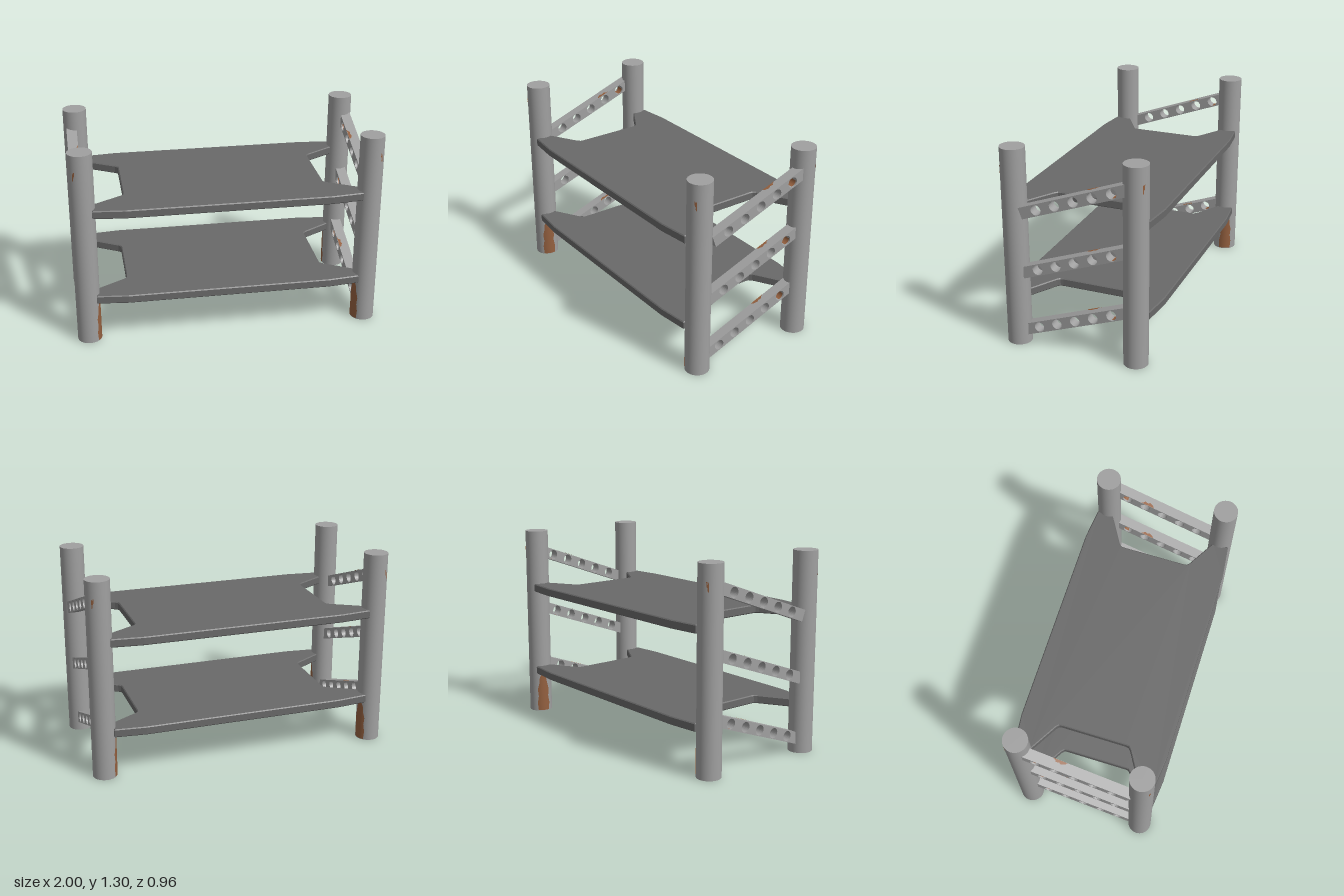
import * as THREE from 'three';

const steel = new THREE.MeshStandardMaterial({ color: 0xa0a0a0 });
steel.name = 'light steel';
const darkSteel = new THREE.MeshStandardMaterial({ color: 0x696969 });
darkSteel.name = 'dark steel';
const rust = new THREE.MeshStandardMaterial({ color: 0x94603f, side: THREE.DoubleSide });
rust.name = 'rust';

const POST = { x: 0.92, z: 0.395, r: 0.078, h: 1.305 };
const SLOPE = 0.352;
const HOLE_GAP = 0.13, HOLE_R = 0.033, BAR_LEN = 0.745, BAR_H = 0.075, BAR_W = 0.068;

function addMesh(parent, name, geometry, material) {
  const mesh = new THREE.Mesh(geometry, material);
  mesh.name = name;
  parent.add(mesh);
  return mesh;
}

function polygon(points) {
  return new THREE.Shape(points.map(([x, y]) => new THREE.Vector2(x, y)));
}

// Thin patch wrapped on a post; rows are [height, start angle, end angle] in degrees
// measured from the x axis towards the z axis, mirrored by sx and sz.
function postPatch(rows, sx, sz) {
  const n = 6, r = POST.r + 0.0015, pos = [], index = [];
  rows.forEach(([y, a0, a1], j) => {
    for (let i = 0; i <= n; i++) {
      const a = THREE.MathUtils.degToRad(a0 + (a1 - a0) * i / n);
      pos.push(sx * r * Math.cos(a), y, sz * r * Math.sin(a));
      if (j && i) {
        const k = j * (n + 1) + i;
        const quad = [k, k - 1, k - n - 2, k, k - n - 2, k - n - 1];
        index.push(...(sx * sz > 0 ? quad : quad.reverse()));
      }
    }
  });
  const g = new THREE.BufferGeometry();
  g.setAttribute('position', new THREE.Float32BufferAttribute(pos, 3));
  g.setIndex(index);
  g.computeVertexNormals();
  return g;
}

// Round post with rust at its foot and two small chips near the top
function createPost(sx, sz) {
  const post = new THREE.Group();
  post.name = 'post';
  post.position.set(sx * POST.x, 0, sz * POST.z);
  const tube = addMesh(post, 'postTube', new THREE.CylinderGeometry(POST.r, POST.r, POST.h, 40), steel);
  tube.position.y = POST.h / 2;
  const foot = [[0.004, -12, 46], [0.06, -15, 50], [0.11, -8, 44], [0.16, -12, 48],
    [0.2, -4, 40], [0.24, 2, 38], [0.27, 8, 28], [0.29, 12, 18]];
  addMesh(post, 'footRust', postPatch(foot, -sx, sz), rust);
  addMesh(post, 'topChipA', postPatch([[1.14, 50, 52], [1.15, 49, 55], [1.19, 50, 54], [1.2, 51, 52]], sx, sz), rust);
  addMesh(post, 'topChipB', postPatch([[1.165, 55, 58], [1.18, 54, 60], [1.2, 56, 61]], sx, sz), rust);
  return post;
}

// Shelf plate with cut-out ends and a fine edge bevel
function createShelf(y) {
  const b = 0.006, t = 0.055;
  const quarter = [[0.649, 0.21], [0.652, 0.232], [0.67, 0.25], [0.858, 0.36], [0.858, 0.455], [0.66, 0.476]];
  const right = [...quarter.map(([x, z]) => [x, -z]).reverse(), ...quarter];
  const left = right.map(([x, z]) => [-x, -z]);
  const g = new THREE.ExtrudeGeometry(polygon([...right, ...left]), {
    depth: t - 2 * b, bevelEnabled: true, bevelThickness: b, bevelSize: b, bevelSegments: 1,
  });
  g.translate(0, 0, b).rotateX(-Math.PI / 2);
  const shelf = new THREE.Mesh(g, darkSteel);
  shelf.name = 'shelf';
  shelf.position.y = y;
  return shelf;
}

// Sloping side bar with five through holes
function createBar(level, side) {
  const bar = new THREE.Group();
  bar.name = 'sideBar';
  bar.position.set(side * (0.914 + 0.016 * level), [0.218, 0.625, 1.03][level], -0.01 * level);
  bar.rotation.x = SLOPE;
  const l = BAR_LEN / 2, h = BAR_H / 2;
  const shape = polygon([[-l, -h], [l, -h], [l, h], [-l, h]]);
  for (let i = -2; i <= 2; i++) {
    shape.holes.push(new THREE.Path().absarc(i * HOLE_GAP, 0, HOLE_R, 0, Math.PI * 2, true));
  }
  const g = new THREE.ExtrudeGeometry(shape, { depth: BAR_W, bevelEnabled: false, curveSegments: 14 });
  g.translate(0, 0, -BAR_W / 2).rotateY(Math.PI / 2);
  addMesh(bar, 'barBody', g, steel);

  // Rust along the inner top edge
  const e = -side * (BAR_W / 2 - 0.001);
  const p = polygon([[e, 0.08], [e * 0.6, 0.09], [e * 0.3, 0.115], [e * 0.55, 0.13],
    [e * 0.4, 0.15], [e * 0.8, 0.16], [e, 0.18]]);
  const patch = addMesh(bar, 'topRust', new THREE.ShapeGeometry(p).rotateX(-Math.PI / 2), rust);
  patch.position.y = h + 0.002;

  // Rust on the floor of the highest hole
  const arc = new THREE.CylinderGeometry(HOLE_R - 0.001, HOLE_R - 0.001, BAR_W * 0.7, 10, 1, true, 0.2, 1.6);
  arc.rotateZ(-Math.PI / 2);
  const lining = addMesh(bar, 'holeRust', arc, rust);
  lining.rotation.x = Math.PI / 3;
  lining.position.z = -2 * HOLE_GAP;
  return bar;
}

export function createModel() {
  const model = new THREE.Group();
  model.name = 'shelfRack';
  for (const sx of [-1, 1]) {
    for (const sz of [-1, 1]) model.add(createPost(sx, sz));
    for (let level = 0; level < 3; level++) model.add(createBar(level, sx));
  }
  for (const y of [0.28, 0.88]) model.add(createShelf(y));
  return model;
}
